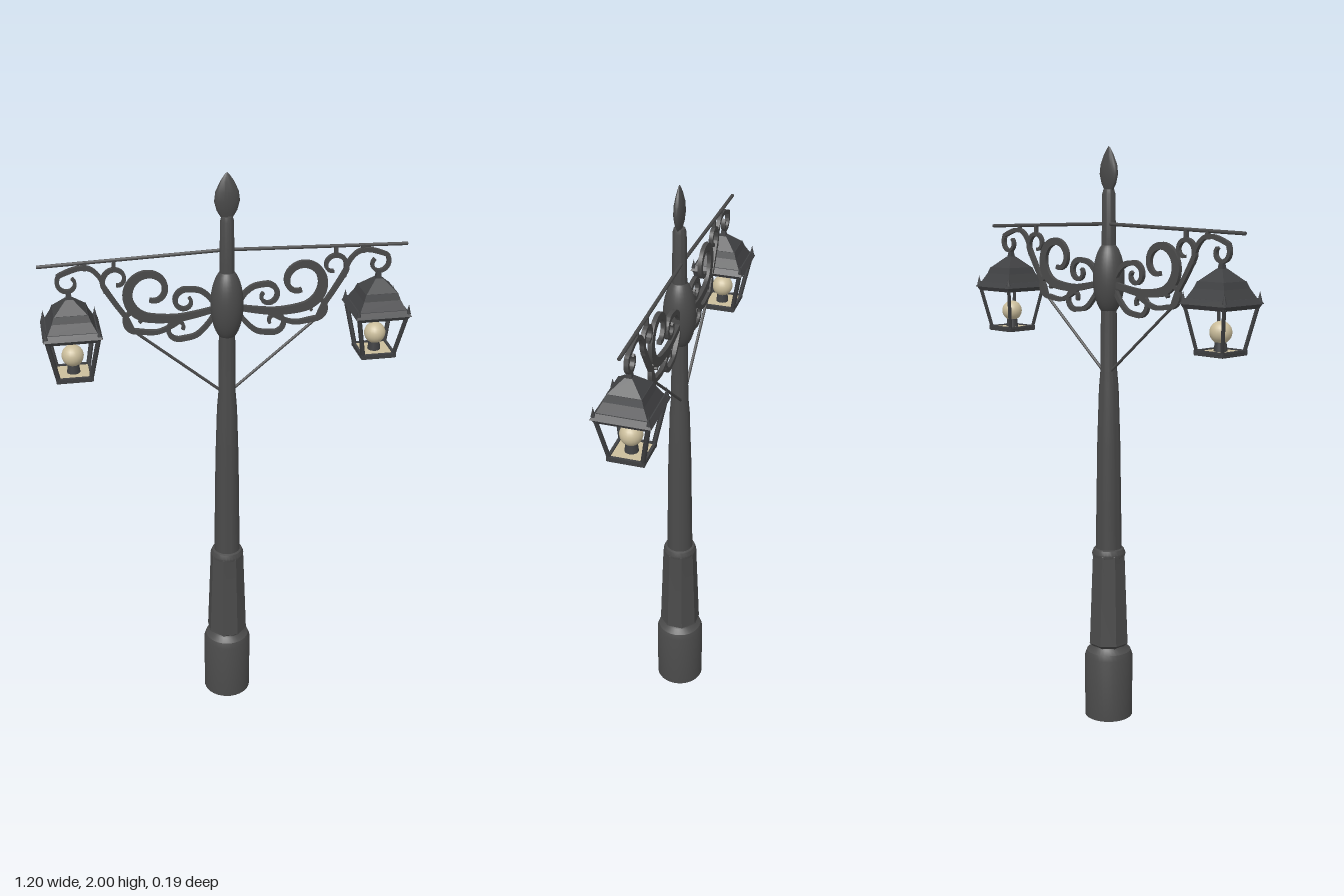
import * as THREE from 'three';
import { toCreasedNormals } from 'three/addons/utils/BufferGeometryUtils.js';

const iron = new THREE.MeshStandardMaterial({ color: 0x4a4a4a });
iron.name = 'cast iron';
const lampIron = new THREE.MeshStandardMaterial({ color: 0x404143 });
lampIron.name = 'lantern iron';
const cream = new THREE.MeshStandardMaterial({ color: 0xcabd9b });
cream.name = 'cream glass';

function add(parent, name, geometry, material) {
  const mesh = new THREE.Mesh(geometry, material);
  mesh.name = name;
  parent.add(mesh);
  return mesh;
}

const v2 = ([x, y]) => new THREE.Vector2(x, y);
const lathe = (points, sides = 32) => toCreasedNormals(new THREE.LatheGeometry(points.map(v2), sides), 0.5);

// Round rod between two points
function rod(a, b, r, sides = 8) {
  const from = new THREE.Vector3(...a), to = new THREE.Vector3(...b);
  const dir = to.clone().sub(from);
  const geo = new THREE.CylinderGeometry(r, r, dir.length(), sides);
  geo.applyQuaternion(new THREE.Quaternion().setFromUnitVectors(new THREE.Vector3(0, 1, 0), dir.normalize()));
  return geo.translate(...from.add(to).multiplyScalar(0.5).toArray());
}

// Flat-sided square frustum given by half widths
function frustum(bottom, top, y0, y1) {
  const k = Math.SQRT2;
  let geo = new THREE.CylinderGeometry(top * k, bottom * k, y1 - y0, 4).rotateY(Math.PI / 4);
  geo = geo.translate(0, (y0 + y1) / 2, 0).toNonIndexed();
  geo.computeVertexNormals();
  return geo;
}

// Points of a spiral, angles in degrees
function curl(cx, cy, r0, r1, a0, a1, n = 14) {
  return Array.from({ length: n + 1 }, (_, i) => {
    const t = i / n, a = THREE.MathUtils.degToRad(a0 + (a1 - a0) * t), r = r0 + (r1 - r0) * t;
    return [cx + r * Math.cos(a), cy + r * Math.sin(a)];
  });
}

// Flat iron scroll whose width swells from w0 to w1 and narrows to w2
function scroll(points, w0, w1, w2, depth = 0.014) {
  const curve = new THREE.SplineCurve(points.map(v2));
  const n = 64, left = [], right = [];
  for (let i = 0; i <= n; i++) {
    const t = i / n, p = curve.getPointAt(t), d = curve.getTangentAt(t);
    const w = (t < 0.5 ? w0 + (w1 - w0) * t * 2 : w1 + (w2 - w1) * (t * 2 - 1)) / 2;
    left.push(new THREE.Vector2(p.x - d.y * w, p.y + d.x * w));
    right.unshift(new THREE.Vector2(p.x + d.y * w, p.y - d.x * w));
  }
  const geo = new THREE.ExtrudeGeometry(new THREE.Shape([...left, ...right]), { depth, bevelEnabled: false });
  return toCreasedNormals(geo.translate(0, 0, -depth / 2), 0.6);
}

function buildPost() {
  const post = new THREE.Group();
  post.name = 'post';
  add(post, 'base', lathe([[0, 0], [0.085, 0], [0.085, 0.225], [0.078, 0.245], [0.06, 0.258],
    [0.056, 0.265], [0.06, 0.275], [0, 0.28]]), iron);
  // Eight-sided pedestal, a face to the front
  const pedestal = new THREE.LatheGeometry([[0, 0.258], [0.056, 0.26], [0.073, 0.275], [0.072, 0.285],
    [0.06, 0.6], [0.054, 0.615], [0, 0.62]].map(v2), 8, Math.PI / 8);
  add(post, 'pedestal', toCreasedNormals(pedestal, 0.3), iron);
  add(post, 'collar', lathe([[0.04, 0.585], [0.058, 0.595], [0.059, 0.605], [0.053, 0.62], [0.04, 0.625]]), iron);
  add(post, 'shaft', lathe([[0.046, 0.61], [0.043, 0.8], [0.04, 1.0], [0.034, 1.19], [0.029, 1.25],
    [0.027, 1.45], [0.024, 1.7], [0.022, 1.845], [0.018, 1.86], [0, 1.862]]), iron);
  const knot = new THREE.SphereGeometry(1, 28, 20).scale(0.054, 0.125, 0.054);
  add(post, 'knot', knot.translate(0, 1.565, 0), iron);
  // Flattened leaf-shaped finial
  const finial = lathe([[0, 1.85], [0.018, 1.855], [0.033, 1.88], [0.041, 1.91], [0.037, 1.94],
    [0.022, 1.972], [0.007, 1.994], [0, 2]], 24);
  add(post, 'finial', finial.scale(1, 1, 0.4), iron);
  post.position.z = 0.006;
  return post;
}

function buildBracket() {
  const arm = new THREE.Group();
  arm.name = 'bracket';
  add(arm, 'topBar', rod([0, 1.747, 0], [0.6, 1.729, 0], 0.006), iron);
  add(arm, 'stay', rod([0.02, 1.252, 0], [0.31, 1.495, 0], 0.005), iron);
  add(arm, 'mainScroll', scroll([[0.03, 1.55], [0.1, 1.535], [0.17, 1.526],
    ...curl(0.245, 1.622, 0.09, 0.028, -90, 280)], 0.018, 0.034, 0.014), iron);
  add(arm, 'innerScroll', scroll([[0.04, 1.565], [0.06, 1.595], [0.09, 1.617],
    ...curl(0.135, 1.583, 0.04, 0.016, 95, -220)], 0.016, 0.018, 0.01), iron);
  add(arm, 'lowerScroll', scroll([[0.035, 1.54], [0.06, 1.5], [0.1, 1.462],
    ...curl(0.16, 1.49, 0.04, 0.016, -110, 200)], 0.014, 0.017, 0.01), iron);
  add(arm, 'middleScroll', scroll([[0.14, 1.525], [0.18, 1.5], [0.23, 1.482],
    ...curl(0.298, 1.53, 0.042, 0.016, -100, 220)], 0.012, 0.017, 0.01), iron);
  add(arm, 'outerScroll', scroll([[0.305, 1.488], [0.325, 1.535], [0.36, 1.59],
    ...curl(0.355, 1.67, 0.045, 0.018, -30, 270)], 0.014, 0.017, 0.01), iron);
  add(arm, 'lampHook', scroll([[0.39, 1.63], [0.405, 1.68], [0.435, 1.712], [0.475, 1.716],
    ...curl(0.507, 1.67, 0.036, 0.02, 50, -225)], 0.012, 0.015, 0.01), iron);
  for (const [x, y] of [[0.36, 1.724], [0.45, 1.722]]) {
    add(arm, 'barClip', new THREE.BoxGeometry(0.012, 0.028, 0.012).translate(x, y, 0), iron);
  }
  return arm;
}

function buildLantern() {
  const lamp = new THREE.Group();
  lamp.name = 'lantern';
  // Stepped roof: bottom half width, top half width, bottom y, top y
  const tiers = [[0.083, 0.09, 1.498, 1.512], [0.094, 0.082, 1.512, 1.53], [0.078, 0.062, 1.53, 1.56],
    [0.062, 0.054, 1.56, 1.582], [0.052, 0.012, 1.582, 1.62], [0.01, 0.006, 1.618, 1.645]];
  for (const t of tiers) add(lamp, 'roofTier', frustum(...t), lampIron);
  // Corner posts and finials
  for (const sx of [-1, 1]) for (const sz of [-1, 1]) {
    add(lamp, 'cornerPost', rod([sx * 0.08, 1.505, sz * 0.08], [sx * 0.052, 1.36, sz * 0.052], 0.008, 4), lampIron);
    const knob = new THREE.ConeGeometry(0.008, 0.032, 6).translate(sx * 0.084, 1.536, sz * 0.084);
    add(lamp, 'cornerFinial', knob, lampIron);
  }
  add(lamp, 'floor', frustum(0.058, 0.06, 1.352, 1.362), lampIron);
  add(lamp, 'floorPanel', frustum(0.05, 0.05, 1.362, 1.365), cream);
  // Rim around the floor
  for (let i = 0; i < 4; i++) {
    const rim = new THREE.BoxGeometry(0.12, 0.014, 0.009).translate(0, 1.362, 0.055);
    add(lamp, 'floorRim', rim.rotateY(i * Math.PI / 2), lampIron);
  }
  add(lamp, 'socket', new THREE.CylinderGeometry(0.018, 0.022, 0.034, 16).translate(0, 1.38, 0), lampIron);
  add(lamp, 'bulb', new THREE.SphereGeometry(0.036, 20, 14).translate(0, 1.424, 0), cream);
  return lamp;
}

export function createModel() {
  const model = new THREE.Group();
  model.name = 'streetLamp';
  model.add(buildPost());
  for (const side of [1, -1]) {
    const bracket = buildBracket();
    bracket.rotation.y = side > 0 ? 0 : Math.PI;
    bracket.position.z = -0.004;
    const lantern = buildLantern();
    lantern.position.x = side * 0.506;
    model.add(bracket, lantern);
  }
  return model;
}
